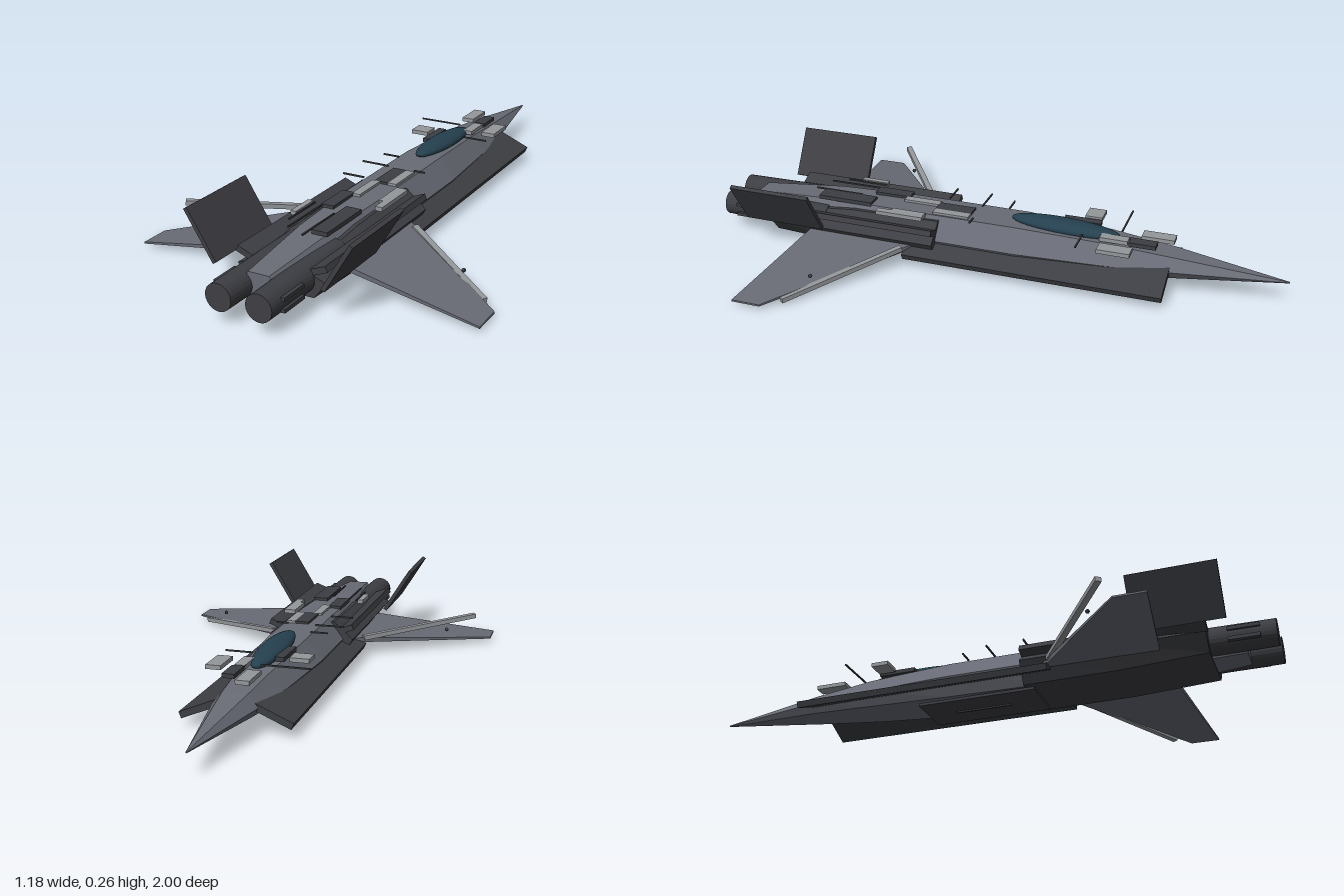
import * as THREE from 'three';

const paint = (color) => new THREE.MeshStandardMaterial({ color, flatShading: true });

export function createModel() {
  const model = new THREE.Group();
  const hull = paint(0x686b75), dark = paint(0x3d3e43), light = paint(0x94979b), glass = paint(0x25404f);
  glass.flatShading = false;

  const add = (name, geometry, material, x = 0, y = 0, z = 0) => {
    const mesh = new THREE.Mesh(geometry, material);
    mesh.name = name;
    mesh.position.set(x, y, z);
    model.add(mesh);
    return mesh;
  };
  const box = (name, material, w, h, d, x, y, z) => add(name, new THREE.BoxGeometry(w, h, d), material, x, y, z);

  // Skin through equal-length rings of [x, y, z] running counter-clockwise seen from +z, ordered by rising z
  const skin = (rings) => {
    const n = rings[0].length, index = [];
    for (let r = 0; r < rings.length - 1; r++) {
      for (let i = 0; i < n; i++) {
        const a = r * n + i, b = r * n + (i + 1) % n;
        index.push(a, b, b + n, a, b + n, a + n);
      }
    }
    const last = (rings.length - 1) * n;
    for (let i = 1; i < n - 1; i++) index.push(0, i + 1, i, last, last + i, last + i + 1);
    const g = new THREE.BufferGeometry();
    g.setAttribute('position', new THREE.Float32BufferAttribute(rings.flat(2), 3));
    g.setIndex(index);
    const flat = g.toNonIndexed();
    flat.computeVertexNormals();
    return flat;
  };
  // Six-sided body section: half width, top, bottom, height of the chine
  const section = ([z, w, top, bottom, mid = 0.085]) => [
    [w, mid, z], [w * 0.55, top, z], [-w * 0.55, top, z],
    [-w, mid, z], [-w * 0.72, bottom, z], [w * 0.72, bottom, z],
  ];

  // Fuselage and the wider engine housing behind it
  add('fuselage', skin([
    [-1, 0.002, 0.082, 0.078, 0.08], [-0.62, 0.073, 0.125, 0.055], [-0.4, 0.1, 0.145, 0.04],
    [-0.1, 0.12, 0.157, 0.025], [0.3, 0.12, 0.157, 0.018], [0.6, 0.1, 0.152, 0.022], [0.9, 0.065, 0.13, 0.04],
  ].map(section)), hull);
  add('engineHousing', skin([
    [0.18, 0.155, 0.145, 0.014], [0.5, 0.155, 0.138, 0.016], [0.79, 0.153, 0.11, 0.03],
  ].map(section)), dark);
  box('bellyPanel', dark, 0.18, 0.01, 0.41, 0, 0.01, 0.005);
  box('bellyKeel', dark, 0.006, 0.01, 0.2, 0, 0.005, 0);

  // Canopy
  const canopy = add('canopy', new THREE.SphereGeometry(1, 32, 16), glass, 0, 0.158, -0.25);
  canopy.scale.set(0.046, 0.024, 0.19);
  canopy.rotation.x = -0.04;

  for (const s of [-1, 1]) {
    const side = s > 0 ? 'left' : 'right';

    // Intake slab, sloping down outward, and rear strake, sloping up
    box(side + 'IntakeSlab', dark, 0.14, 0.022, 0.9, s * 0.113, 0.065, -0.17).rotation.z = -s * 0.4;
    box(side + 'RearStrake', dark, 0.1, 0.02, 0.61, s * 0.108, 0.112, 0.485).rotation.z = s * 0.38;

    // Swept, drooping wing
    const rib = (x, y, front, back, t) => [
      [x, y + t, front], [x, y + t, back], [x, y - t, back], [x, y - t, front],
    ].map(([px, py, pz]) => [s * px, py, pz]);
    const ribs = [rib(0.1, 0.066, 0.226, 0.635, 0.009), rib(0.59, 0.015, 0.6, 0.7, 0.003)];
    if (s > 0) ribs.forEach((r) => r.reverse());
    const wing = skin(ribs.map((r) => r.slice().reverse()));
    add(side + 'Wing', wing, hull);

    // Leading-edge flap: one side raised, the other lowered
    const from = new THREE.Vector3(s * 0.17, 0.066, 0.285);
    const to = new THREE.Vector3(s * 0.535, s > 0 ? 0.015 : 0.112, 0.55);
    const flap = box(side + 'LeadingEdgeFlap', light, 0.02, 0.016, from.distanceTo(to), 0, 0, 0);
    flap.position.copy(from).lerp(to, 0.5);
    flap.lookAt(to);

    // Wing light
    add(side + 'WingLight', new THREE.SphereGeometry(0.007, 10, 8), dark, s * 0.44, 0.065, 0.49);

    // Canted tail fin
    box(side + 'TailFin', dark, 0.014, 0.182, 0.29, s * 0.232, 0.181, 0.715).rotation.z = -s * 0.55;

    // Engine nozzle with side actuators
    const nozzle = add(side + 'EngineNozzle', new THREE.CylinderGeometry(0.044, 0.048, 0.4, 24), dark, s * 0.068, 0.085, 0.8);
    nozzle.rotation.x = Math.PI / 2;
    for (const y of [0.065, 0.1]) box(side + 'NozzleActuator', dark, 0.016, 0.012, 0.1, s * 0.112, y, 0.9);
  }

  // Raised equipment panels: x from, x to, z from, z to
  const panels = (name, material, h, y, list) => list.forEach(([x0, x1, z0, z1]) =>
    box(name, material, x1 - x0, h, z1 - z0, (x0 + x1) / 2, y, (z0 + z1) / 2));
  panels('lightPanel', light, 0.014, 0.158, [
    [-0.045, 0, -0.62, -0.51], [0.09, 0.14, -0.5, -0.39], [-0.15, -0.085, -0.355, -0.295],
    [0.02, 0.055, -0.475, -0.38], [0.03, 0.06, 0.08, 0.21], [0.075, 0.115, 0.23, 0.35],
    [-0.03, 0, 0.21, 0.34], [-0.125, -0.105, 0.45, 0.55], [0.09, 0.115, 0.25, 0.4],
  ]);
  panels('darkPanel', dark, 0.014, 0.158, [
    [0.02, 0.06, -0.57, -0.48], [-0.07, -0.04, -0.36, -0.23], [-0.07, -0.025, 0.33, 0.46],
    [-0.02, 0.03, 0.08, 0.21], [0.01, 0.065, 0.44, 0.64],
  ]);

  // Thin pipes across and along the back
  panels('pipe', dark, 0.005, 0.161, [
    [-0.18, -0.02, -0.443, -0.438], [0.05, 0.14, -0.323, -0.318], [-0.12, -0.06, -0.033, -0.028],
    [-0.15, -0.05, 0.062, 0.067], [0.05, 0.09, 0.062, 0.067], [-0.15, -0.07, 0.192, 0.197],
    [-0.1, -0.095, 0.45, 0.6], [-0.07, -0.065, 0.45, 0.65], [0, 0.005, 0.5, 0.68], [0.02, 0.025, -0.53, -0.4],
  ]);

  return model;
}
